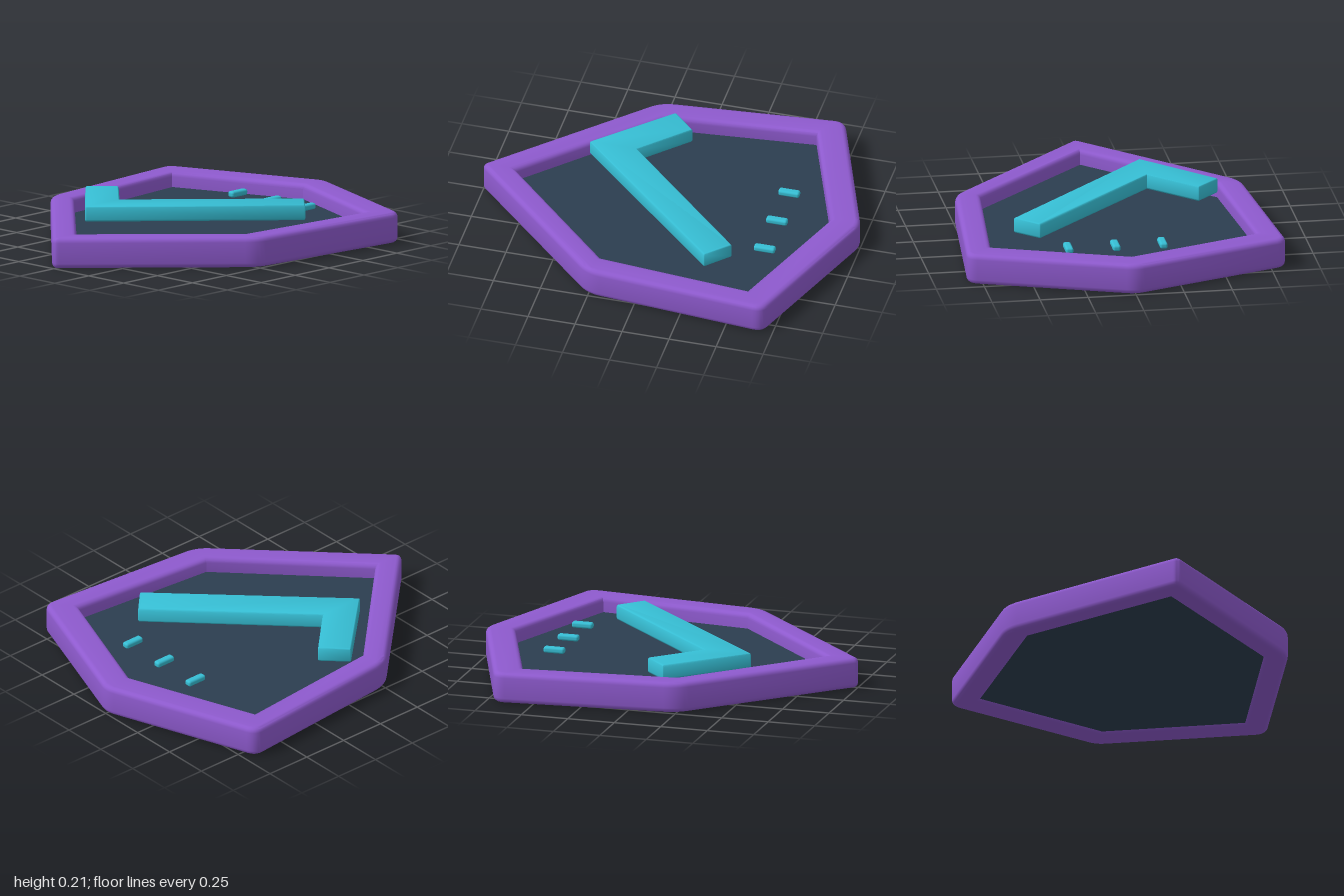
import * as THREE from 'three';
import { toCreasedNormals } from 'three/addons/utils/BufferGeometryUtils.js';
import { RoundedBoxGeometry } from 'three/addons/geometries/RoundedBoxGeometry.js';

const mat = (name, color) => {
  const m = new THREE.MeshStandardMaterial({ color });
  m.name = name;
  return m;
};

// Outline from [x, z, cornerCut] points; each corner is softened by its cut
function outline(points, Type = THREE.Shape) {
  const path = new Type();
  const p = points.map(([x, z]) => new THREE.Vector2(x, -z));
  p.forEach((c, i) => {
    const cut = points[i][2] ?? 0;
    const prev = p[(i + p.length - 1) % p.length];
    const next = p[(i + 1) % p.length];
    const a = c.clone().add(prev.clone().sub(c).setLength(cut));
    const b = c.clone().add(next.clone().sub(c).setLength(cut));
    if (i === 0) path.moveTo(a.x, a.y);
    else path.lineTo(a.x, a.y);
    if (cut > 0) path.quadraticCurveTo(c.x, c.y, b.x, b.y);
  });
  path.closePath();
  return path;
}

// Symmetric shield outline from its right half
function shield(top, shoulder, hip, tip) {
  const flip = ([x, z, c]) => [-x, z, c];
  return [top, flip(shoulder), flip(hip), tip, hip, shoulder];
}

// Flat-lying slab between two heights with bevels kept inside the outline
function slab(shape, y0, y1, bevel) {
  const geo = new THREE.ExtrudeGeometry(shape, {
    depth: y1 - y0 - 2 * bevel,
    bevelEnabled: bevel > 0,
    bevelSize: bevel,
    bevelThickness: bevel,
    bevelOffset: -bevel,
    bevelSegments: 4,
    curveSegments: 6,
  });
  geo.rotateX(-Math.PI / 2);
  geo.translate(0, y0 + bevel, 0);
  return toCreasedNormals(geo, 0.7);
}

export function createModel() {
  const group = new THREE.Group();
  const purple = mat('purple', 0x8e5ace);
  const navy = mat('navy', 0x2c3e50);
  const teal = mat('teal', 0x36bed4);
  const add = (name, geo, material) => {
    const mesh = new THREE.Mesh(geo, material);
    mesh.name = name;
    group.add(mesh);
    return mesh;
  };

  // Bevelled shield rim
  const rim = outline(shield([0, -1.004, 0.05], [0.832, -0.7, 0.055], [0.746, 0.256, 0.07], [0, 1.012, 0.036]));
  rim.holes.push(outline(shield([0, -0.84], [0.69, -0.585], [0.615, 0.215], [0, 0.83]), THREE.Path));
  add('rim', slab(rim, 0, 0.16, 0.026), purple);

  // Recessed backing panel, tucked slightly into the rim
  const panel = outline(shield([0, -0.86], [0.71, -0.6], [0.635, 0.225], [0, 0.86]));
  add('panel', slab(panel, 0.01, 0.08, 0), navy);

  // Raised check mark
  const check = outline([
    [-0.608, 0.14, 0.01], [-0.256, 0.507, 0.01], [0.53, -0.31, 0.01],
    [0.408, -0.428, 0.01], [-0.256, 0.25], [-0.488, 0.018, 0.01],
  ]);
  add('checkMark', slab(check, 0.13, 0.212, 0.012), teal);

  // Row of three small bars
  [-0.205, 0.04, 0.285].forEach((x, i) => {
    add(`bar${i + 1}`, new RoundedBoxGeometry(0.04, 0.032, 0.112, 3, 0.012), teal)
      .position.set(x, 0.124, -0.569);
  });

  return group;
}
